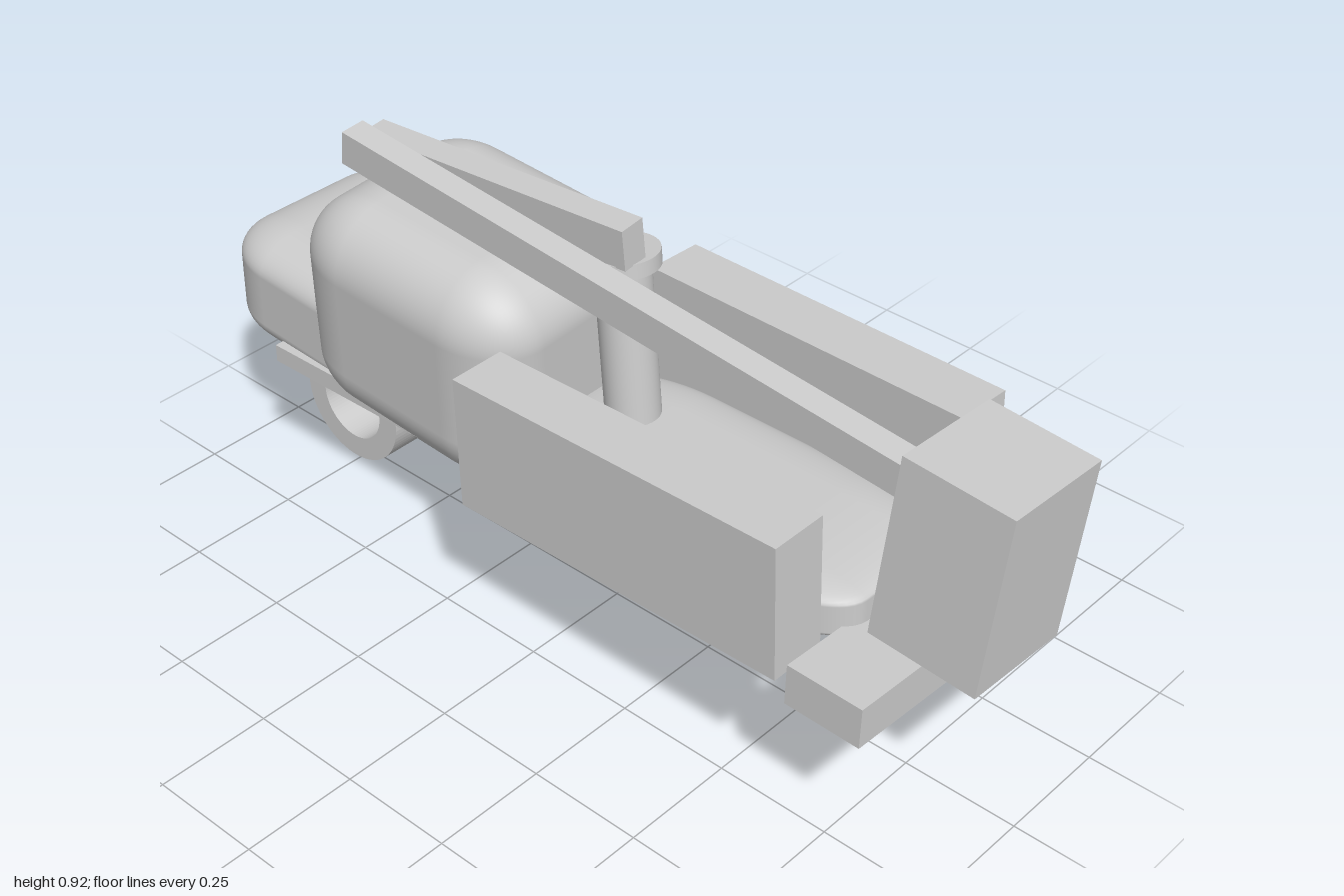
import * as THREE from 'three';
import { RoundedBoxGeometry } from 'three/addons/geometries/RoundedBoxGeometry.js';

export function createModel() {
  const model = new THREE.Group();
  model.name = 'bucketTruck';
  const grey = new THREE.MeshStandardMaterial({ color: 0xcccccc });
  const softCube = new RoundedBoxGeometry(1, 1, 1, 8, 0.27);

  function add(name, geometry, position, rotation = [0, 0, 0]) {
    const mesh = new THREE.Mesh(geometry, grey);
    mesh.name = name;
    mesh.position.set(...position);
    mesh.rotation.set(...rotation);
    model.add(mesh);
    return mesh;
  }
  const box = (name, size, position, rotation) =>
    add(name, new THREE.BoxGeometry(...size), position, rotation);
  // Soft pillow-like body, stretched from one rounded cube
  const soft = (name, size, position, rotation) =>
    add(name, softCube, position, rotation).scale.set(...size);
  // Square beam running between two points
  function beam(name, from, to, width, height, roll = 0) {
    const a = new THREE.Vector3(...from), b = new THREE.Vector3(...to);
    const mesh = box(name, [width, height, a.distanceTo(b)], a.clone().lerp(b, 0.5).toArray());
    mesh.lookAt(b);
    mesh.rotateZ(roll);
  }

  // Rounded bodies
  soft('cab', [0.505, 0.505, 0.62], [0.022, 0.528, -0.41], [0.05, 0, 0.07]);
  soft('hood', [0.485, 0.265, 0.57], [0.05, 0.442, -0.713], [0.035, -0.03, 0.02]);
  soft('bed', [0.395, 0.13, 0.86], [-0.008, 0.405, 0.285], [-0.035, -0.03, 0.02]);

  // Chassis plate, almost hidden under the cab
  box('chassis', [0.4, 0.04, 0.7], [0, 0.345, -0.45], [0, 0.02, 0]);

  // Side lockers and bumper
  box('leftLocker', [0.126, 0.295, 0.785], [0.251, 0.53, 0.305], [-0.032, -0.045, 0]);
  box('rightLocker', [0.126, 0.292, 0.79], [-0.269, 0.52, 0.283], [-0.03, -0.01, 0.012]);
  box('bumper', [0.605, 0.088, 0.17], [-0.007, 0.355, 0.777], [0, -0.02, -0.025]);

  // Work bucket
  box('bucket', [0.256, 0.393, 0.236], [-0.007, 0.592, 0.87], [0.07, 0, -0.057]);

  // Turret column and cap, leaning slightly back
  const turret = new THREE.Vector3(0.035, 0.8, -0.02);
  const lean = [-0.11, 0, -0.02];
  const axis = new THREE.Vector3(0, 1, 0).applyEuler(new THREE.Euler(...lean));
  add('turretCap', new THREE.CylinderGeometry(0.077, 0.077, 0.032, 40), turret.toArray(), lean);
  add('turretColumn', new THREE.CylinderGeometry(0.057, 0.057, 0.38, 40),
    turret.clone().addScaledVector(axis, -0.19).toArray(), lean);

  // Boom arms
  beam('lowerBoom', [-0.1, 0.876, -0.625], [-0.036, 0.69, 0.785], 0.058, 0.076, 0.05);
  beam('upperBoom', [-0.03, 0.838, -0.635], [0, 0.866, 0.042], 0.06, 0.088, 0.07);

  // Single open wheel
  const ring = new THREE.Shape().absarc(0, 0, 0.141, 0, Math.PI * 2);
  ring.holes.push(new THREE.Path().absarc(0, 0, 0.088, 0, Math.PI * 2, true));
  const wheel = new THREE.ExtrudeGeometry(ring, { depth: 0.094, bevelEnabled: false, curveSegments: 40 });
  wheel.translate(0, 0, -0.047).rotateY(Math.PI / 2);
  add('wheel', wheel, [0.012, 0.141, -0.765]);

  return model;
}
